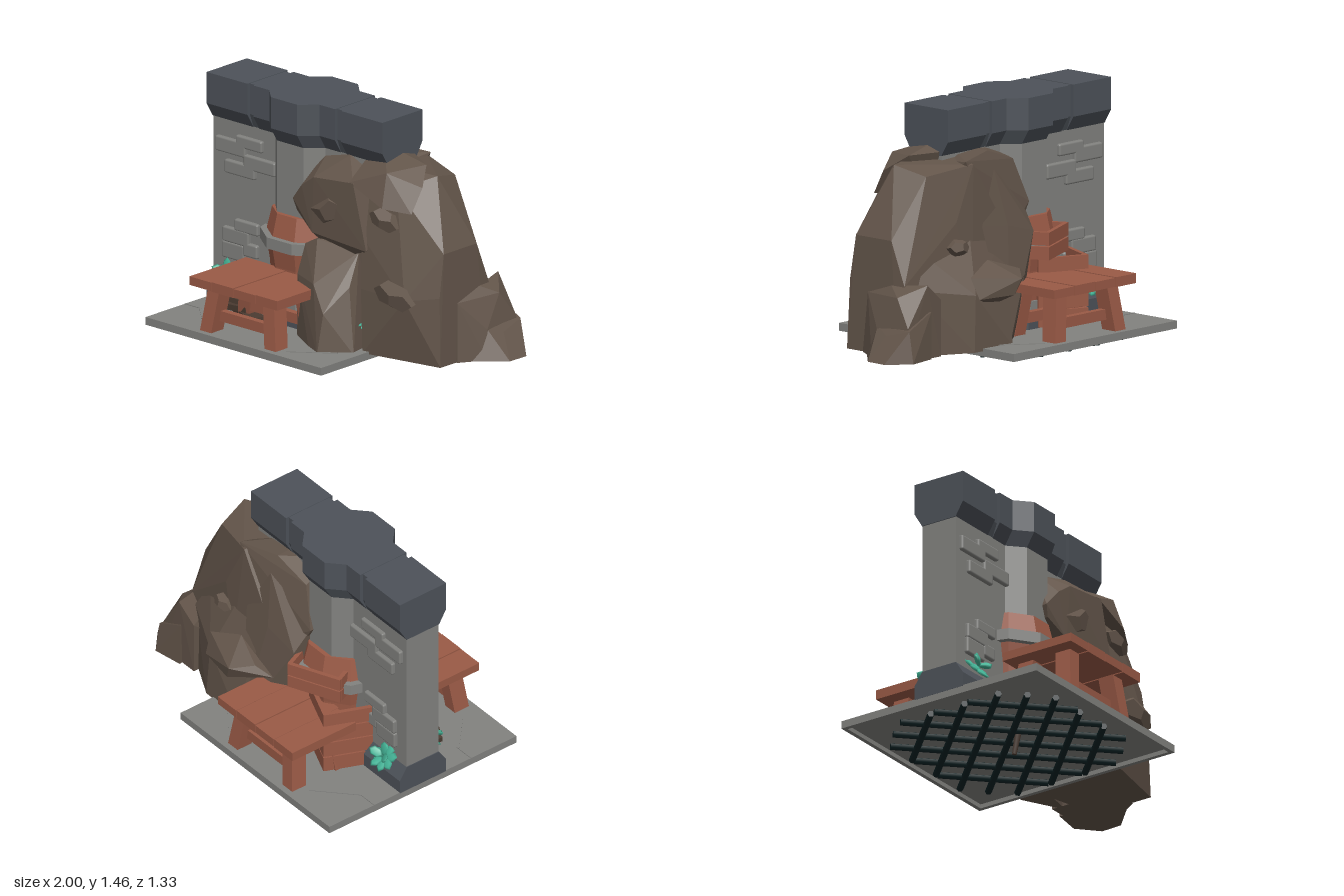
import * as THREE from 'three';
import { RoundedBoxGeometry } from 'three/addons/geometries/RoundedBoxGeometry.js';
import { ConvexGeometry } from 'three/addons/geometries/ConvexGeometry.js';

const CX = -0.333; // centre of the slab and pillar
const GROUND = 0.13; // foot of the rocks

function material(name, color) {
  const m = new THREE.MeshStandardMaterial({ color });
  m.name = name;
  return m;
}

function add(parent, name, geometry, mat, x = 0, y = 0, z = 0, rx = 0, ry = 0, rz = 0) {
  const mesh = new THREE.Mesh(geometry, mat);
  mesh.name = name;
  mesh.position.set(x, y, z);
  mesh.rotation.set(rx, ry, rz);
  parent.add(mesh);
  return mesh;
}

function group(parent, name, x = 0, y = 0, z = 0, ry = 0) {
  const g = new THREE.Group();
  g.name = name;
  g.position.set(x, y, z);
  g.rotation.y = ry;
  parent.add(g);
  return g;
}

const box = (w, h, d) => new THREE.BoxGeometry(w, h, d);

// Plan of the wall between two x values, with an octagonal pillar where it is included
function wallPlan(x0, x1, inset, pillar) {
  const w = 0.165 - inset, b = 0.25 - inset;
  const half = pillar ? [[CX - 0.19, w], [CX - 0.1, b], [CX + 0.1, b], [CX + 0.19, w]] : [];
  const side = [[x0, w], ...half, [x1, w]];
  const back = side.map(([x, z]) => [x, -z]).reverse();
  return new THREE.Shape([...side, ...back].map(([x, z]) => new THREE.Vector2(x, z)));
}

// Upright prism over a plan; the top or bottom edge may be pulled inwards in z
function prism(shape, y0, y1, topIn = 0, bottomIn = 0) {
  const g = new THREE.ExtrudeGeometry(shape, { depth: y1 - y0, bevelEnabled: false });
  g.rotateX(-Math.PI / 2);
  const p = g.attributes.position;
  for (let i = 0; i < p.count; i++) {
    const inset = p.getY(i) > (y1 - y0) / 2 ? topIn : bottomIn;
    p.setZ(i, p.getZ(i) - Math.sign(p.getZ(i)) * inset);
  }
  g.translate(0, y0, 0);
  g.computeVertexNormals();
  return g;
}

// Closed faceted rock around a few corner points
const rock = (points) => new ConvexGeometry(points.map((c) => new THREE.Vector3(...c)));

export function createModel() {
  const model = new THREE.Group();
  model.name = 'ruinedWall';
  const stoneGrey = material('stone grey', 0x82827f);
  const darkStone = material('dark stone', 0x4d5259);
  const rockBrown = material('rock brown', 0x63554a);
  const wood = material('red wood', 0x9a5a46);
  const oldWood = material('old wood', 0x4c3c32);
  const leafGreen = material('leaf green', 0x44b396);
  const iron = material('dark iron', 0x0b2123);

  // Floor slab with a hollow underside
  const floor = group(model, 'floor');
  add(floor, 'floorPlate', box(1.333, 0.02, 1.333), stoneGrey, CX, 0.135, 0);
  for (const s of [-1, 1]) {
    add(floor, 'floorRimSide', box(0.025, 0.045, 1.333), stoneGrey, CX + s * 0.654, 0.1225, 0);
    add(floor, 'floorRimEnd', box(1.333, 0.045, 0.025), stoneGrey, CX, 0.1225, s * 0.654);
    add(floor, 'pavingJoint', box(0.12, 0.008, 0.01), stoneGrey, -0.935, 0.145, s * 0.345);
    add(floor, 'pavingJoint', box(0.29, 0.008, 0.01), stoneGrey, -0.775, 0.145, s * 0.445, 0, -s * 0.75, 0);
    add(floor, 'pavingJoint', box(0.29, 0.008, 0.01), stoneGrey, 0.11, 0.145, s * 0.5, 0, s * 0.65, 0);
  }

  // Octagonal grate of crossed bars below the floor
  const grate = group(model, 'grate', CX, 0.086, 0, Math.PI / 4);
  for (let i = -3; i <= 3; i++) {
    const d = i * 0.163;
    const len = 2 * Math.min(0.65, 0.8 - Math.abs(d));
    const bar = new THREE.CylinderGeometry(0.02, 0.02, len, 6);
    add(grate, 'grateBar', bar, iron, d, 0.002, 0, Math.PI / 2, 0, 0);
    add(grate, 'grateCrossBar', bar, iron, 0, -0.002, d, 0, 0, Math.PI / 2);
  }
  add(model, 'hangingRoot', new THREE.CylinderGeometry(0.02, 0.014, 0.12, 6), oldWood, CX, 0.062, 0.055, 0.2, 0, 0);

  // Wall with pillar, dark foot and a cap in three blocks
  const wall = group(model, 'wall');
  add(wall, 'wallBody', prism(wallPlan(-0.995, 0.33, 0.05, true), 0.14, 1.21), stoneGrey);
  add(wall, 'wallFoot', prism(wallPlan(-1, 0.335, 0, true), 0.14, 0.225), darkStone);
  add(wall, 'wallFootSlope', prism(wallPlan(-1, 0.335, 0, true), 0.225, 0.3, 0.05), darkStone);
  for (const [x0, x1, pillar] of [[-1, -0.69, false], [-0.645, -0.025, true], [0.02, 0.335, false]]) {
    add(wall, 'capBlock', prism(wallPlan(x0, x1, 0, pillar), 1.28, 1.463), darkStone);
    add(wall, 'capSlope', prism(wallPlan(x0, x1, 0, pillar), 1.197, 1.28, 0, 0.05), darkStone);
  }
  add(wall, 'capCore', prism(wallPlan(-0.99, 0.325, 0.02, false), 1.28, 1.46), darkStone);
  add(wall, 'capCoreSlope', prism(wallPlan(-0.99, 0.325, 0.02, false), 1.2, 1.28, 0, 0.03), darkStone);

  // Raised brick patches on both faces
  const bricks = [
    [-0.71, 1.095, 0.2, 0.07], [-0.85, 1.05, 0.23, 0.09], [-0.63, 0.985, 0.24, 0.085],
    [-0.78, 0.93, 0.23, 0.08], [-0.73, 0.6, 0.18, 0.07], [-0.81, 0.53, 0.2, 0.09],
    [-0.83, 0.44, 0.17, 0.1], [-0.7, 0.47, 0.11, 0.08],
  ];
  for (const [x, y, w, h] of bricks) {
    for (const s of [-1, 1]) add(wall, 'raisedBrick', new RoundedBoxGeometry(w, h, 0.05, 1, 0.012), stoneGrey, x, y, s * 0.113);
  }

  // Barrel around the pillar, with a flat stave at the front
  const barrel = group(model, 'barrel', CX, 0, 0, Math.PI / 10);
  const profile = [[0, 0.145], [0.22, 0.145], [0.24, 0.3], [0.25, 0.47], [0.275, 0.62], [0.238, 0.78], [0, 0.78]];
  const staves = new THREE.LatheGeometry(profile.map((p) => new THREE.Vector2(...p)), 10).toNonIndexed();
  staves.computeVertexNormals();
  add(barrel, 'barrelStaves', staves, wood);
  for (const [y, r] of [[0.618, 0.305], [0.27, 0.26]]) {
    const band = new THREE.CylinderGeometry(r, r, 0.065, 10).toNonIndexed();
    band.computeVertexNormals();
    add(barrel, 'barrelBand', band, stoneGrey, 0, y, 0);
  }

  // Plank benches in front of and behind the wall
  for (const s of [-1, 1]) {
    const bench = group(model, s > 0 ? 'frontBench' : 'backBench', CX, 0, s * 0.43, s > 0 ? 0 : Math.PI);
    for (let i = 0; i < 4; i++) {
      const len = 0.465 - (i % 2) * 0.012;
      add(bench, 'benchPlank', box(0.163, 0.05 + (i % 2) * 0.006, len), wood, (i - 1.5) * 0.168, 0.434, 0.236 - len / 2);
    }
    for (const z of [-0.13, 0.12]) {
      for (const sx of [-1, 1]) {
        const leg = box(0.085, 0.275, 0.1);
        const p = leg.attributes.position; // legs splay towards the floor
        for (let i = 0; i < p.count; i++) if (p.getY(i) < 0) p.setXYZ(i, p.getX(i) + sx * 0.04, p.getY(i), p.getZ(i) + Math.sign(z) * 0.03);
        leg.computeVertexNormals();
        add(bench, 'benchLeg', leg, wood, sx * 0.205, 0.28, z);
      }
      add(bench, 'benchStretcher', box(0.43, 0.06, 0.04), wood, 0, 0.235, z);
    }
  }

  // Boarded crates, turned against each other, stacked behind the barrel
  const crates = [[-0.505, 0.145, -0.18, 0.28, 0.4, 4, -0.4], [-0.345, 0.55, -0.16, 0.31, 0.165, 2, 0.42]];
  for (const [x, y, z, w, h, rows, turn] of crates) {
    const crate = group(model, 'crate', x, y, z, turn);
    for (let i = 0; i < rows; i++) {
      const by = (i + 0.5) * h / rows, bh = h / rows - 0.008;
      add(crate, 'crateBoard', box(w + 0.02, bh, 0.025), wood, 0, by, -w / 2);
      add(crate, 'crateSideBoard', box(0.025, bh, w), wood, -w / 2, by, 0);
      add(crate, 'crateSideBoard', box(0.025, bh, w * 0.62), wood, w / 2, by, -w * 0.19);
    }
  }

  // Broken old boards beside the front bench
  const boards = group(model, 'brokenBoards');
  for (const [x, y, z, len, ry, rz] of [
    [-0.68, 0.165, 0.22, 0.24, 0.1, 0], [-0.67, 0.19, 0.27, 0.25, -0.12, 0.1],
    [-0.63, 0.215, 0.24, 0.3, 0.1, -0.12], [-0.55, 0.17, 0.3, 0.25, -0.4, 0.05],
  ]) add(boards, 'brokenBoard', box(len, 0.03, 0.09), oldWood, x, y, z, 0, ry, rz);

  // Leafy rosettes leaning out from the wall foot
  for (const [x, y, z, size, lean] of [[-0.85, 0.3, 0.15, 1, 0.85], [-0.85, 0.3, -0.15, 1, -0.85], [0.25, 0.28, 0.22, 0.5, 0.85]]) {
    const plant = group(model, 'plant', x, y, z);
    plant.rotation.x = lean;
    plant.scale.setScalar(size);
    for (let i = 0; i < 11; i++) {
      const inner = i >= 7;
      const leaf = new THREE.SphereGeometry(1, 6, 4).scale(0.045, 0.009, 0.03).translate(0.047, 0, 0);
      const m = add(plant, 'leaf', leaf, leafGreen, 0, inner ? 0.02 : 0, 0);
      m.rotation.set(0, i * (inner ? 1.571 : 0.8976), inner ? 0.6 : 0.1, 'YXZ');
    }
  }

  // Rock mass: tower, back, overhang, crown, front boulder and side boulder
  const rocks = group(model, 'rocks');
  add(rocks, 'rockTower', rock([
    [0.29, GROUND, 0.28], [0.79, GROUND, 0.18], [0.79, GROUND, -0.2], [0.3, GROUND, -0.32], [0.22, GROUND, 0.1],
    [0.27, 0.5, 0.27], [0.6, 0.5, 0.27], [0.775, 0.53, 0.17], [0.77, 0.53, -0.24], [0.3, 0.5, -0.32],
    [0.25, 0.8, 0.24], [0.77, 0.78, 0.13], [0.77, 0.78, -0.14], [0.4, 0.85, -0.29], [0.02, 0.8, -0.29],
    [0.6, 1.17, 0], [0.55, 1.12, -0.2], [0.25, 1.16, -0.28], [0.15, 1.2, 0.1], [0.45, 1.1, 0.17],
  ]), rockBrown);
  add(rocks, 'rockBack', rock([
    [0.1, GROUND, -0.44], [0.4, GROUND, -0.43], [0.65, GROUND, -0.3], [0.1, GROUND, -0.2], [0.7, 0.5, -0.27],
    [0.38, 0.45, -0.42], [0.08, 0.45, -0.39], [0.3, 0.75, -0.3], [0.6, 0.68, -0.24], [0.05, 0.7, -0.3],
  ]), rockBrown);
  add(rocks, 'rockOverhang', rock([
    [-0.285, 0.9, 0.23], [-0.26, 0.83, 0.22], [-0.2, 1.0, 0.25], [-0.1, 1.07, 0.26], [-0.12, 0.74, 0.25], [-0.16, 1.19, 0.05],
    [0.05, 1.2, 0.12], [0.2, 1.1, 0.26], [0.3, 0.72, 0.26], [-0.27, 0.87, -0.22], [-0.18, 1.12, -0.18], [0.05, 1.2, -0.2],
    [0.3, 1.18, -0.27], [0.1, 0.6, -0.3], [-0.15, 0.65, -0.22], [0, 0.6, 0.15],
  ]), rockBrown);
  add(rocks, 'rockCrown', rock([
    [0.16, 1.19, 0.12], [0.2, 1.275, 0], [0.5, 1.21, -0.02], [0.58, 1.12, 0.1], [0.57, 0.98, 0.18], [0.42, 1.0, 0.26],
    [0.17, 1.1, 0.26], [0.4, 1.19, 0.2], [0.3, 1.22, -0.12], [0.35, 1.0, 0],
  ]), rockBrown);
  add(rocks, 'frontBoulder', rock([
    [-0.17, GROUND, 0.32], [0.02, GROUND, 0.43], [0.13, GROUND, 0.48], [0.28, GROUND, 0.34], [0.24, GROUND, 0.1],
    [-0.15, GROUND, 0.1], [-0.175, 0.5, 0.31], [0.02, 0.5, 0.39], [0.14, 0.36, 0.44], [0.21, 0.5, 0.3], [-0.18, 0.66, 0.24],
    [0.19, 0.68, 0.2], [-0.08, 0.71, 0.25], [0.16, 0.73, 0.12], [-0.15, 0.69, 0.08],
  ]), rockBrown);
  add(rocks, 'sideBoulder', rock([
    [0.6, GROUND, 0.05], [0.8, GROUND, 0.05], [0.89, GROUND, -0.1], [0.88, GROUND, -0.36], [0.6, GROUND, -0.36],
    [0.78, 0.47, 0.03], [0.78, 0.53, -0.15], [0.84, 0.48, -0.25], [0.72, 0.55, -0.37], [0.87, 0.3, -0.12], [0.87, 0.32, -0.36],
    [0.6, 0.45, -0.36],
  ]), rockBrown);
  add(rocks, 'sideToe', rock([
    [0.8, GROUND, 0.02], [0.995, GROUND, -0.17], [1.0, GROUND, -0.3], [0.88, GROUND, -0.41], [0.7, GROUND, -0.38],
    [0.86, 0.31, -0.12], [0.9, 0.27, -0.22], [0.88, 0.31, -0.38], [0.7, 0.4, -0.38],
  ]), rockBrown);
  add(rocks, 'backLedge', rock([
    [0, 0.55, -0.4], [0.1, 0.52, -0.51], [0.14, 0.43, -0.49], [0.38, 0.43, -0.45], [0.4, 0.55, -0.4], [0.2, 0.62, -0.34],
    [-0.1, 0.5, -0.35], [0.2, 0.36, -0.36],
  ]), rockBrown);
  add(rocks, 'backButtress', rock([
    [-0.25, 0.88, -0.18], [-0.22, 0.72, -0.3], [0.0, 0.78, -0.31], [0.1, GROUND, -0.42], [-0.02, GROUND, -0.33],
    [-0.16, GROUND, -0.22], [-0.16, 0.4, -0.29], [0.05, 1.1, -0.25], [0.2, 0.8, -0.3],
  ]), rockBrown);

  // Angular stones jutting from the faces
  for (const [x, y, z, sx, sy, sz, rz] of [
    [0.52, 0.51, 0.26, 0.15, 0.09, 0.06, -0.2], [0.4, 0.92, 0.21, 0.11, 0.07, 0.06, -0.3],
    [-0.02, 0.88, 0.22, 0.15, 0.1, 0.06, 0.5], [0.4, 0.71, -0.3, 0.08, 0.05, 0.05, 0.1],
  ]) add(rocks, 'juttingStone', new THREE.DodecahedronGeometry(1, 0).scale(sx, sy, sz), rockBrown, x, y, z, 0.2, 0, rz);

  return model;
}
